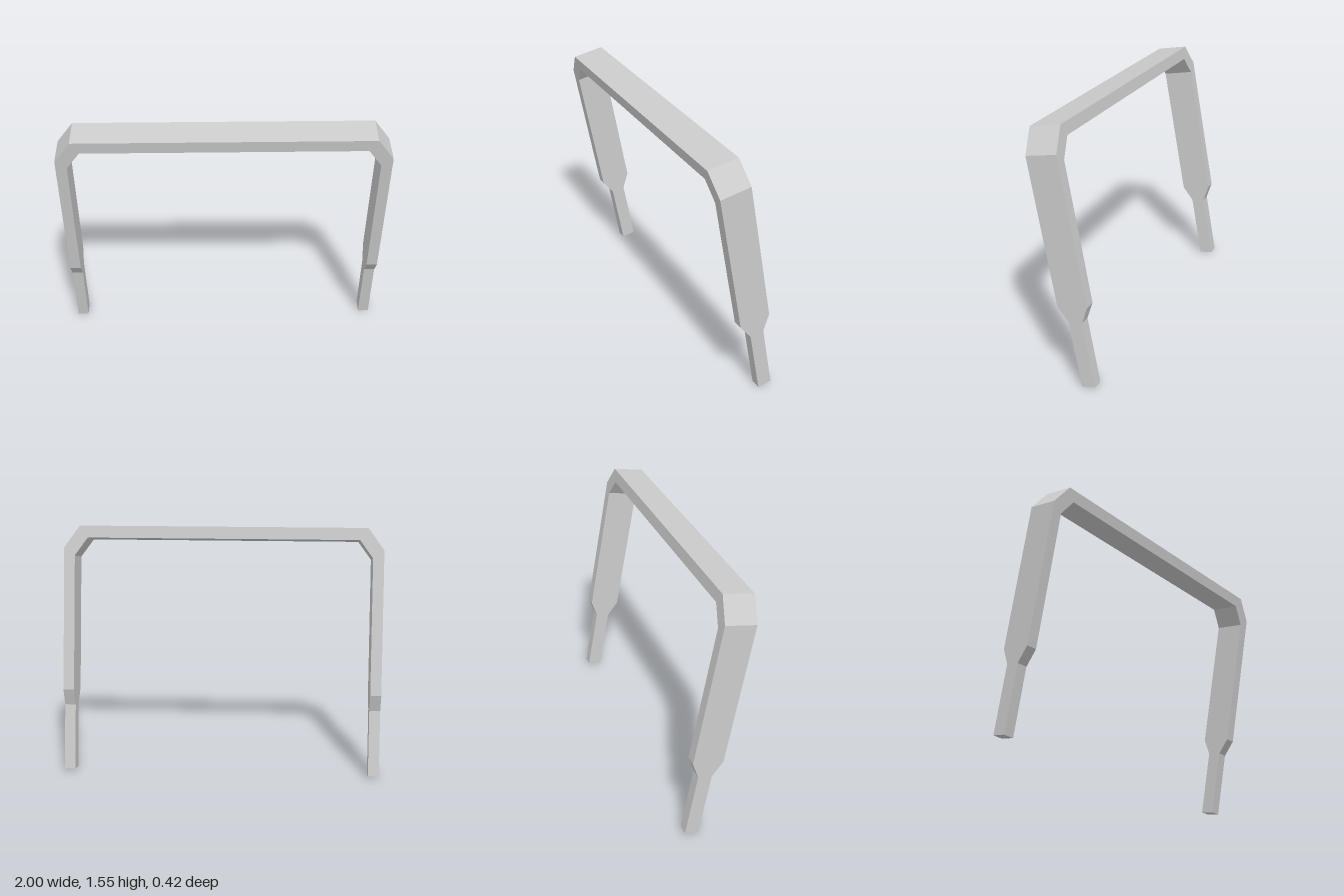
import * as THREE from 'three';

// Half of the hoop, from foot to top bend: outer x, outer y, inner x, inner y, half depth
const HALF = [
  [1, -0.022, 0.932, -0.022, 0.0435],
  [1, 0.391, 0.932, 0.391, 0.0435],
  [1, 0.49, 0.932, 0.49, 0.0965],
  [1, 1.39, 0.932, 1.34, 0.0965],
  [0.9, 1.527, 0.85, 1.452, 0.0965],
];

// Joins rectangular cross-sections along the hoop and closes both ends
function loft(stations) {
  const rings = stations.map(([ox, oy, ix, iy, d]) => [
    [ox, oy, d], [ix, iy, d], [ix, iy, -d], [ox, oy, -d],
  ]);
  const pos = [];
  const quad = (a, b, c, d) => pos.push(...a, ...b, ...c, ...a, ...c, ...d);
  for (let s = 0; s < rings.length - 1; s++) {
    const p = rings[s], q = rings[s + 1];
    for (let i = 0; i < 4; i++) {
      const j = (i + 1) % 4;
      quad(p[i], q[i], q[j], p[j]);
    }
  }
  quad(...rings[0]);
  quad(...rings[rings.length - 1].slice().reverse());
  const geo = new THREE.BufferGeometry();
  geo.setAttribute('position', new THREE.Float32BufferAttribute(pos, 3));
  geo.computeVertexNormals();
  return geo;
}

export function createModel() {
  const group = new THREE.Group();
  group.name = 'leaningHoop';

  // Mirror the half profile to get the whole hoop
  const mirrored = HALF.map(([ox, oy, ix, iy, d]) => [-ox, oy, -ix, iy, d]).reverse();
  const material = new THREE.MeshStandardMaterial({ color: 0xcccccc, flatShading: true });
  const hoop = new THREE.Mesh(loft([...HALF, ...mirrored]), material);
  hoop.name = 'hoopFrame';

  // Lean the hoop forward
  hoop.rotation.x = THREE.MathUtils.degToRad(10.5);
  hoop.position.set(0, 0.03, -0.164);
  group.add(hoop);
  return group;
}
